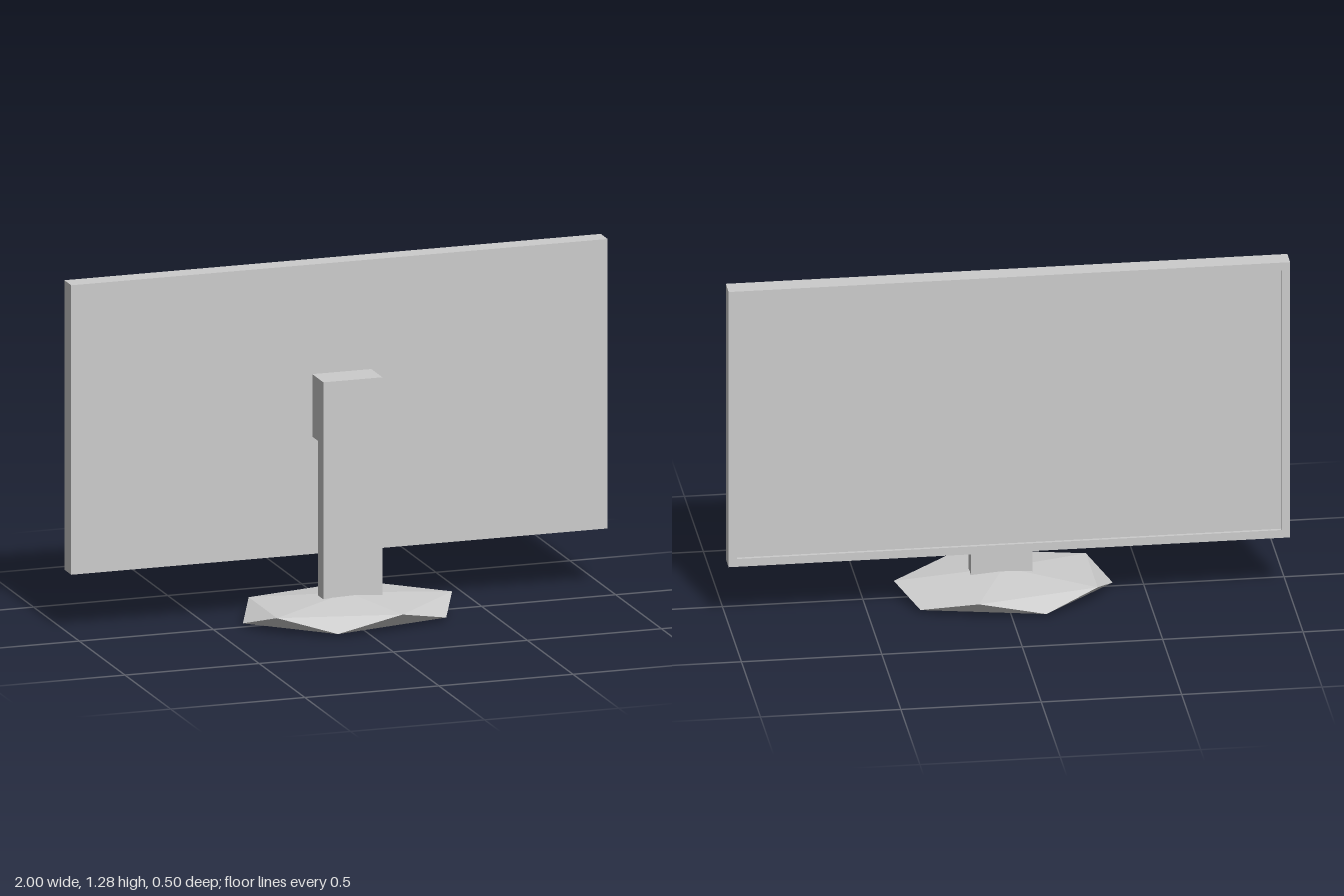
import * as THREE from 'three';

export function createModel() {
  const group = new THREE.Group();
  const grey = new THREE.MeshStandardMaterial({ color: 0xcccccc });
  grey.name = 'light grey';

  const add = (name, geometry, x = 0, y = 0, z = 0) => {
    const mesh = new THREE.Mesh(geometry, grey);
    mesh.name = name;
    mesh.position.set(x, y, z);
    group.add(mesh);
    return mesh;
  };

  // Display: solid panel with a raised rim around the recessed screen at the back
  const bottom = 0.22, top = 1.276, front = -0.088, back = -0.163;
  const recess = 0.012, bezel = 0.03;
  const height = top - bottom, midY = (top + bottom) / 2;
  const depth = front - back - recess;
  add('displayPanel', new THREE.BoxGeometry(2, height, depth), 0, midY, front - depth / 2);

  const rectangle = (Type, w, h) => new Type([
    new THREE.Vector2(-w, -h), new THREE.Vector2(w, -h),
    new THREE.Vector2(w, h), new THREE.Vector2(-w, h),
  ]);
  const rim = rectangle(THREE.Shape, 1, height / 2);
  rim.holes.push(rectangle(THREE.Path, 1 - bezel, height / 2 - bezel));
  add('screenBezel', new THREE.ExtrudeGeometry(rim, { depth: recess, bevelEnabled: false }), 0, midY, back);

  // Stand: upright column with an arm reaching back, one L-shaped section
  const section = new THREE.Shape([
    [-0.033, 0.08], [0.028, 0.08], [0.028, 0.648],
    [-front, 0.648], [-front, 0.876], [-0.033, 0.876],
  ].map(([x, y]) => new THREE.Vector2(x, y)));
  const stand = new THREE.ExtrudeGeometry(section, { depth: 0.22, bevelEnabled: false });
  stand.rotateY(Math.PI / 2);
  add('standColumn', stand, -0.101);

  // Base: two staggered five-sided rings closed by a pole above and below
  const ring = (y, start) => Array.from({ length: 5 }, (_, i) => {
    const a = (start + i * 72) * Math.PI / 180;
    return [0.39 * Math.cos(a), y, 0.263 * Math.sin(a)];
  });
  const upper = ring(0.064, 0), lower = ring(0.013, 36);
  const peak = [0, 0.094, 0], foot = [0, 0, 0];
  const corners = [];
  for (let i = 0; i < 5; i++) {
    const j = (i + 1) % 5;
    corners.push(
      peak, upper[j], upper[i],
      upper[i], upper[j], lower[i],
      upper[j], lower[j], lower[i],
      foot, lower[i], lower[j],
    );
  }
  const base = new THREE.BufferGeometry();
  base.setAttribute('position', new THREE.Float32BufferAttribute(corners.flat(), 3));
  base.computeVertexNormals();
  add('facetedBase', base);

  return group;
}
